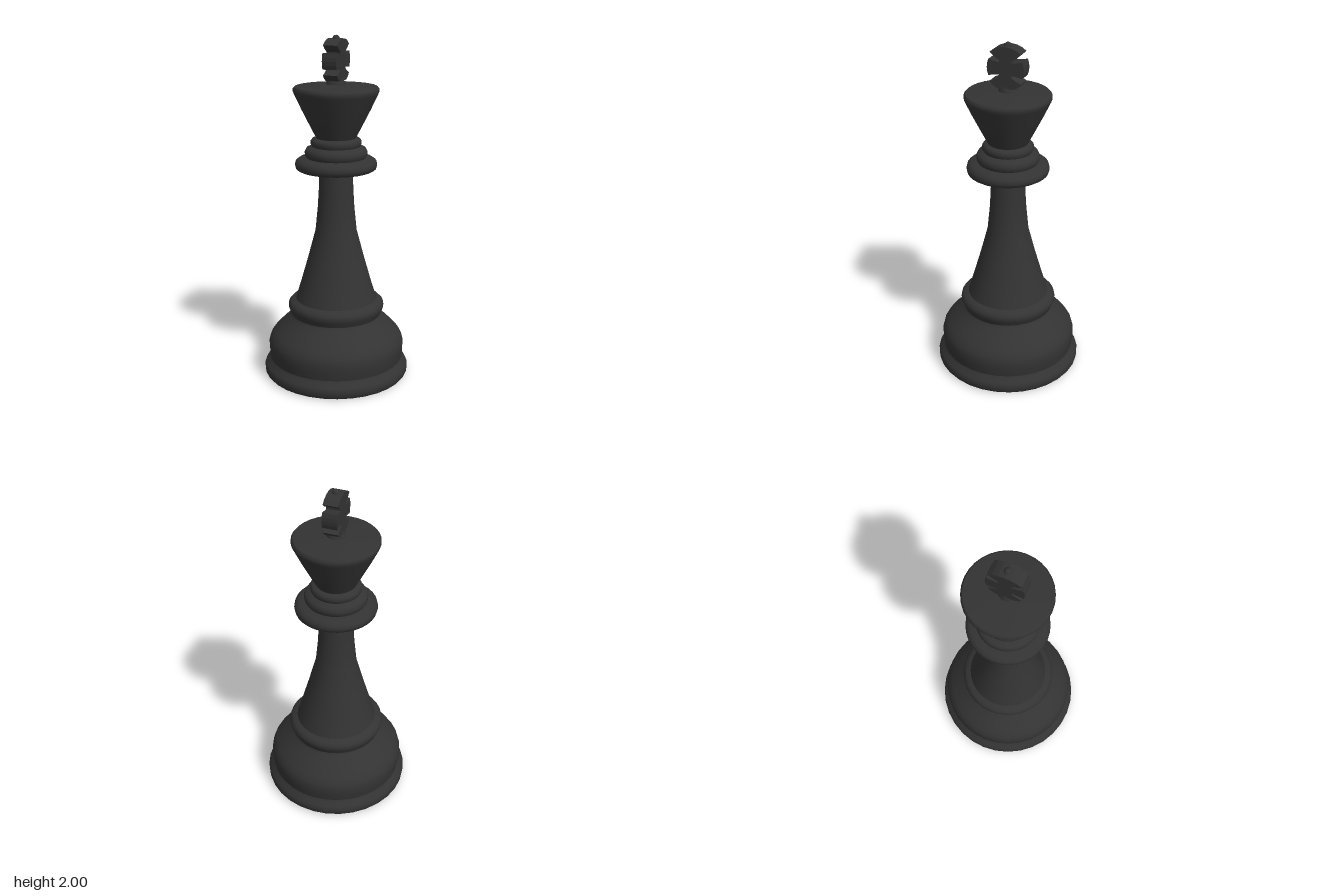
import * as THREE from 'three';

const material = new THREE.MeshStandardMaterial({ color: 0x333333, side: THREE.DoubleSide });

// Turned part from [radius, height] pairs, bottom to top
function turned(name, points) {
  const profile = points.map(([r, y]) => new THREE.Vector2(r, y));
  const mesh = new THREE.Mesh(new THREE.LatheGeometry(profile, 32), material);
  mesh.name = name;
  return mesh;
}

// Cross lying in the z-y plane, with flared curved arms
function cross() {
  const half = [
    [0.05, 1.75], [0.06, 1.755], [0.08, 1.77], [0.092, 1.785], [0.065, 1.797], [0.035, 1.815],
    [0.035, 1.828], [0.06, 1.825], [0.098, 1.817], [0.105, 1.84], [0.107, 1.862],
    [0.105, 1.884], [0.098, 1.907], [0.06, 1.899], [0.035, 1.896],
    [0.035, 1.908], [0.065, 1.926], [0.09, 1.948], [0.065, 1.966], [0.035, 1.978], [0, 1.982],
  ];
  const mirrored = half.slice(0, -1).reverse().map(([z, y]) => [-z, y]);
  const shape = new THREE.Shape([...half, ...mirrored].map(([z, y]) => new THREE.Vector2(z, y)));
  const geometry = new THREE.ExtrudeGeometry(shape, { depth: 0.084, bevelEnabled: false });
  geometry.translate(0, 0, -0.042).rotateY(Math.PI / 2);
  const mesh = new THREE.Mesh(geometry, material);
  mesh.name = 'cross';
  return mesh;
}

export function createModel() {
  const group = new THREE.Group();
  group.name = 'chessKing';

  // Base and its mouldings
  group.add(
    turned('underside', [[0, 0], [0.415, 0]]),
    turned('foot', [[0.415, 0], [0.427, 0.015], [0.43, 0.045], [0.42, 0.065], [0.4, 0.085], [0.393, 0.1]]),
    turned('base', [[0.393, 0.1], [0.4, 0.145], [0.402, 0.19], [0.393, 0.225], [0.37, 0.26],
      [0.32, 0.31], [0.275, 0.352], [0.265, 0.37]]),
    turned('baseRing', [[0.265, 0.37], [0.275, 0.395], [0.283, 0.415], [0.28, 0.437], [0.265, 0.453], [0.238, 0.463]]),
  );

  // Tapered shaft
  group.add(turned('shaft', [[0.238, 0.463], [0.205, 0.57], [0.165, 0.71], [0.12, 0.88],
    [0.106, 1.02], [0.1, 1.12], [0.096, 1.245]]));

  // Stepped collar
  group.add(
    turned('collarUnderside', [[0.09, 1.24], [0.215, 1.24]]),
    turned('collar', [[0.215, 1.24], [0.231, 1.25], [0.236, 1.27], [0.231, 1.292], [0.21, 1.307], [0.17, 1.312]]),
    turned('middleRing', [[0.17, 1.312], [0.178, 1.325], [0.18, 1.345], [0.17, 1.365], [0.138, 1.377]]),
    turned('upperRing', [[0.138, 1.377], [0.145, 1.39], [0.145, 1.408], [0.135, 1.42], [0.114, 1.425]]),
  );

  // Flared head with a slightly domed top
  group.add(
    turned('head', [[0.114, 1.425], [0.155, 1.505], [0.198, 1.59], [0.238, 1.675]]),
    turned('headRim', [[0.238, 1.675], [0.244, 1.69], [0.243, 1.705], [0.234, 1.715]]),
    turned('headTop', [[0.234, 1.715], [0.12, 1.726], [0, 1.732]]),
    turned('crossStem', [[0.053, 1.725], [0.053, 1.74], [0.045, 1.748], [0.04, 1.775]]),
  );

  // Cross and its small knob
  const knob = new THREE.Mesh(new THREE.SphereGeometry(0.021, 16, 12), material);
  knob.name = 'knob';
  knob.position.y = 1.979;
  group.add(cross(), knob);
  return group;
}
